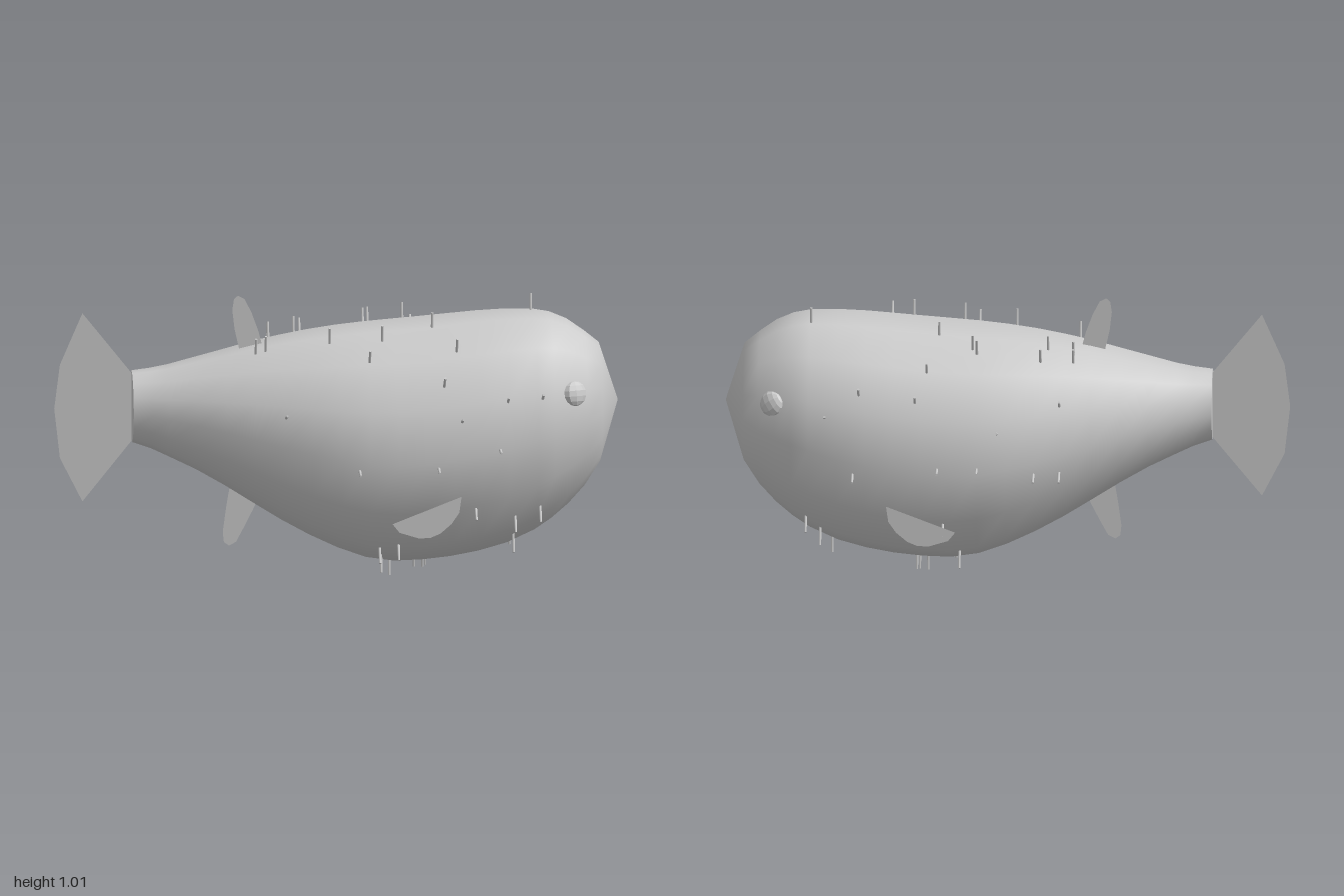
import * as THREE from 'three';

const SIDES = 14;
// Body stations from tail to head: x, top, bottom, half width
const STATIONS = [
  [-0.725, 0.74, 0.49, 0.113], [-0.66, 0.747, 0.468, 0.13], [-0.6, 0.757, 0.44, 0.152],
  [-0.5, 0.781, 0.392, 0.193], [-0.4, 0.805, 0.335, 0.235], [-0.3, 0.83, 0.272, 0.272],
  [-0.2, 0.85, 0.21, 0.307], [-0.1, 0.867, 0.155, 0.34], [0, 0.88, 0.108, 0.366],
  [0.1, 0.89, 0.072, 0.382], [0.2, 0.898, 0.057, 0.386], [0.3, 0.906, 0.06, 0.386],
  [0.4, 0.915, 0.07, 0.38], [0.5, 0.924, 0.088, 0.37], [0.6, 0.93, 0.115, 0.352],
  [0.7, 0.93, 0.16, 0.325], [0.76, 0.92, 0.2, 0.303], [0.82, 0.896, 0.25, 0.27],
  [0.88, 0.855, 0.315, 0.235], [0.935, 0.812, 0.4, 0.188],
];
const NOSE = [1, 0.612, 0];

// Spine positions: x, angle in degrees from the +z side up over the back
const SPINES = [
  // left flank
  [-0.195, 19], [0.105, 54], [0.365, 37], [0.425, 18], [0.59, 24], [0.715, 22], [0.06, -4],
  [0.34, -3], [0.56, 1], [0.475, -28], [0.62, -43], [0.71, -44], [0.205, -49], [0.14, -54],
  // back
  [-0.29, 72], [-0.255, 73], [-0.03, 72], [0.155, 70], [0.335, 77], [-0.235, 115], [-0.235, 108],
  [-0.145, 106], [-0.12, 117], [0.105, 114], [0.12, 111], [0.24, 103], [0.695, 100],
  [0.28, 129], [0.32, 145], [-0.19, 148], [0.415, 56],
  // right flank
  [-0.19, 192], [-0.1, 187], [0.03, 160], [0.1, 177], [0.22, 208], [0.24, 177], [0.52, 145],
  [0.54, 186], [0.64, 160],
  // belly
  [0.15, -68], [0.165, 237], [0.185, -82], [0.28, -98], [0.31, -97], [0.32, -99],
  [0.62, -65], [0.62, 258], [0.66, 240], [0.71, 230],
];

// Centre height, half height and half width of the body at x
function sectionAt(x) {
  let i = 0;
  while (i < STATIONS.length - 2 && STATIONS[i + 1][0] < x) i++;
  const a = STATIONS[i], b = STATIONS[i + 1];
  const t = (x - a[0]) / (b[0] - a[0]);
  const [top, bottom, w] = [1, 2, 3].map(k => a[k] + (b[k] - a[k]) * t);
  // no corner lies exactly on top, so the half height is widened a little
  return { c: (top + bottom) / 2, h: (top - bottom) / 2 / Math.cos(Math.PI / SIDES), w };
}

function bodyGeometry() {
  const pos = [], index = [];
  for (const [x] of STATIONS) {
    const { c, h, w } = sectionAt(x);
    for (let j = 0; j < SIDES; j++) {
      const t = j / SIDES * Math.PI * 2;
      pos.push(x, c + h * Math.sin(t), w * Math.cos(t));
    }
  }
  const tip = pos.length / 3, last = STATIONS.length - 1;
  pos.push(...NOSE);
  for (let i = 0; i <= last; i++) {
    for (let j = 0; j < SIDES; j++) {
      const k = (j + 1) % SIDES;
      const a = i * SIDES + j, d = i * SIDES + k;
      if (i === last) index.push(a, tip, d);
      else index.push(a, a + SIDES, d + SIDES, a, d + SIDES, d);
    }
  }
  const g = new THREE.BufferGeometry();
  g.setAttribute('position', new THREE.Float32BufferAttribute(pos, 3));
  g.setIndex(index);
  g.computeVertexNormals();
  return g;
}

export function createModel() {
  const model = new THREE.Group();
  model.name = 'pufferFish';
  const skin = new THREE.MeshStandardMaterial({ color: 0xcccccc });
  const finSkin = new THREE.MeshStandardMaterial({ color: 0xcccccc, side: THREE.DoubleSide });
  const eyeSkin = new THREE.MeshStandardMaterial({ color: 0xcccccc, flatShading: true });

  const add = (name, geometry, material, parent = model) => {
    const mesh = new THREE.Mesh(geometry, material);
    mesh.name = name;
    parent.add(mesh);
    return mesh;
  };
  const fin = (name, points, z = 0) => {
    const shape = new THREE.Shape(points.map(p => new THREE.Vector2(...p)));
    add(name, new THREE.ShapeGeometry(shape), finSkin).position.z = z;
  };

  // Body and the flat end at the tail
  add('body', bodyGeometry(), skin);
  const end = sectionAt(STATIONS[0][0]);
  const cap = add('tailStump', new THREE.CircleGeometry(1, SIDES).rotateY(-Math.PI / 2), skin);
  cap.scale.set(1, end.h, end.w);
  cap.position.set(STATIONS[0][0], end.c, 0);

  // Thin fins
  fin('tailFin', [[-0.725, 0.735], [-0.9, 0.957], [-0.98, 0.77], [-1, 0.61], [-0.98, 0.43],
    [-0.9, 0.27], [-0.725, 0.49]]);
  fin('dorsalFin', [[-0.34, 0.8], [-0.36, 0.89], [-0.368, 0.96], [-0.362, 1], [-0.348, 1.012],
    [-0.325, 1], [-0.3, 0.95], [-0.275, 0.88], [-0.255, 0.8]]);
  fin('analFin', [[-0.37, 0.36], [-0.39, 0.24], [-0.402, 0.15], [-0.398, 0.113], [-0.38, 0.1],
    [-0.355, 0.113], [-0.325, 0.17], [-0.295, 0.23], [-0.265, 0.3]]);
  const pectoral = [[0.175, 0.267], [0.42, 0.363], [0.412, 0.305], [0.385, 0.265], [0.345, 0.23],
    [0.31, 0.215], [0.27, 0.213], [0.2, 0.235]];
  fin('leftPectoralFin', pectoral, 0.39);
  fin('rightPectoralFin', pectoral, -0.39);

  // Flattened eyes, facing outward and slightly forward
  for (const s of [1, -1]) {
    const eye = add(s > 0 ? 'leftEye' : 'rightEye', new THREE.SphereGeometry(1, 9, 7), eyeSkin);
    eye.scale.set(0.045, 0.045, 0.024);
    eye.position.set(0.83, 0.705, s * 0.277);
    eye.quaternion.setFromUnitVectors(new THREE.Vector3(0, 0, 1),
      new THREE.Vector3(0.5, 0.25, s * 0.85).normalize());
  }

  // Short spines standing out radially from the skin
  const spines = new THREE.Group();
  spines.name = 'spines';
  model.add(spines);
  const spineGeometry = new THREE.CylinderGeometry(0.0045, 0.0055, 0.085, 6).translate(0, 0.0125, 0);
  const up = new THREE.Vector3(0, 1, 0);
  for (const [x, degrees] of SPINES) {
    const { c, h, w } = sectionAt(x);
    const t = THREE.MathUtils.degToRad(degrees);
    const out = new THREE.Vector3(0, h * Math.sin(t), w * Math.cos(t));
    const spine = add('spine', spineGeometry, skin, spines);
    spine.position.set(x, c + out.y, out.z);
    spine.quaternion.setFromUnitVectors(up, out.normalize());
  }
  return model;
}
